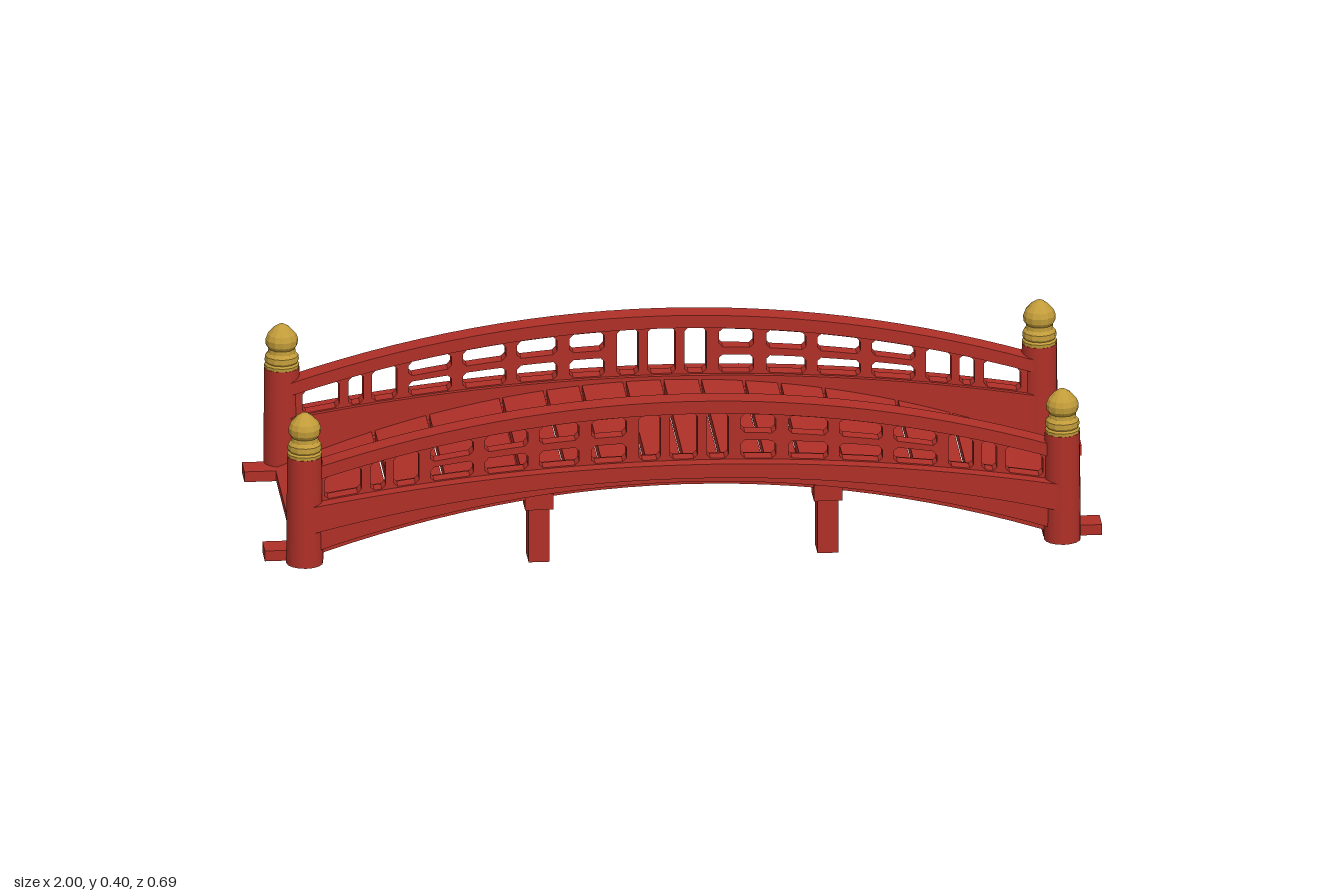
import * as THREE from 'three';

const red = new THREE.MeshStandardMaterial({ color: 0xb03028 });
red.name = 'red lacquer';
const gold = new THREE.MeshStandardMaterial({ color: 0xc29c3a });
gold.name = 'gold';

// Arched heights along the span
const arch = (peak, drop) => x => peak - drop * x * x;
const railTop = arch(0.402, 0.18), railBottom = arch(0.37, 0.18);
const baseTop = arch(0.25, 0.1), baseBottom = arch(0.215, 0.14);
const deckTop = arch(0.241, 0.225), deckBottom = arch(0.212, 0.215);
const beamBottom = arch(0.187, 0.195);

function add(parent, name, geometry, material = red) {
  const mesh = new THREE.Mesh(geometry, material);
  mesh.name = name;
  parent.add(mesh);
  return mesh;
}

// Bar from x0 to x1 whose top and bottom follow two arches
function archedBar(x0, x1, low, high, z0, z1, segments = 28) {
  const g = new THREE.BoxGeometry(x1 - x0, 1, z1 - z0, segments, 1, 1);
  g.translate((x0 + x1) / 2, 0, (z0 + z1) / 2);
  const p = g.attributes.position;
  for (let i = 0; i < p.count; i++) {
    const x = p.getX(i);
    p.setY(i, p.getY(i) > 0 ? high(x) : low(x));
  }
  g.computeVertexNormals();
  return g;
}

function box(x0, x1, y0, y1, z0, z1) {
  return new THREE.BoxGeometry(x1 - x0, y1 - y0, z1 - z0)
    .translate((x0 + x1) / 2, (y0 + y1) / 2, (z0 + z1) / 2);
}

// Opening between fractions f0 and f1 of the height from base to rail, corners cut
function opening(x0, x1, f0, f1) {
  const at = (x, f, dy) => {
    const lo = baseTop(x) + 0.003, hi = railBottom(x) - 0.002;
    return new THREE.Vector2(x, lo + (hi - lo) * f + dy);
  };
  const c = 0.009, m = (x0 + x1) / 2;
  return new THREE.Path([
    at(x0 + c, f0, 0), at(m, f0, 0), at(x1 - c, f0, 0), at(x1, f0, c),
    at(x1, f1, -c), at(x1 - c, f1, 0), at(m, f1, 0), at(x0 + c, f1, 0),
    at(x0, f1, -c), at(x0, f0, c)
  ]);
}

// Pierced panel between the base rail and the handrail
function railingPanel() {
  const end = 0.885, n = 28, outline = [];
  for (let i = 0; i <= n; i++) {
    const x = -end + 2 * end * i / n;
    outline.push(new THREE.Vector2(x, baseTop(x) - 0.01));
  }
  for (let i = n; i >= 0; i--) {
    const x = -end + 2 * end * i / n;
    outline.push(new THREE.Vector2(x, railBottom(x) + 0.01));
  }
  const shape = new THREE.Shape(outline);
  shape.holes.push(opening(-0.033, 0.033, 0, 1));
  const tall = [[0.055, 0.107], [0.632, 0.692], [0.712, 0.748], [0.77, 0.858]];
  const split = [[0.137, 0.22], [0.25, 0.345], [0.372, 0.475], [0.502, 0.605]];
  for (const s of [-1, 1]) {
    const cut = ([a, b], f0, f1) =>
      shape.holes.push(opening(Math.min(s * a, s * b), Math.max(s * a, s * b), f0, f1));
    tall.forEach(w => cut(w, 0, 1));
    split.forEach(w => { cut(w, 0, 0.4); cut(w, 0.57, 0.98); });
  }
  return new THREE.ExtrudeGeometry(shape, { depth: 0.036, bevelEnabled: false })
    .translate(0, 0, 0.274);
}

// Corner post with its gilded finial
function cornerPost() {
  const group = new THREE.Group();
  group.name = 'cornerPost';
  add(group, 'postShaft', new THREE.CylinderGeometry(0.042, 0.044, 0.272, 16).translate(0, 0.154, 0));
  const profile = [
    [0, 0.284], [0.041, 0.284], [0.042, 0.298], [0.038, 0.303], [0.041, 0.308], [0.04, 0.32],
    [0.033, 0.328], [0.032, 0.338], [0.038, 0.347], [0.039, 0.361], [0.034, 0.374],
    [0.02, 0.389], [0.008, 0.397], [0, 0.398]
  ].map(([r, y]) => new THREE.Vector2(r, y));
  const cap = new THREE.LatheGeometry(profile, 12).toNonIndexed();
  cap.computeVertexNormals();
  add(group, 'finial', cap, gold);
  return group;
}

// One long side: rails, beam, posts, feet and legs, made for +z or -z
function bridgeSide(s) {
  const side = new THREE.Group();
  side.name = s > 0 ? 'frontSide' : 'backSide';
  const zs = (a, b) => s > 0 ? [a, b] : [-b, -a];

  add(side, 'handrail', archedBar(-0.89, 0.89, railBottom, railTop, ...zs(0.265, 0.32)));
  const panel = add(side, 'railingPanel', railingPanel());
  if (s < 0) panel.position.z = -0.584;
  add(side, 'baseRail', archedBar(-0.89, 0.89, baseBottom, baseTop, ...zs(0.262, 0.343)));
  add(side, 'fascia', archedBar(-0.89, 0.89, arch(0.2, 0.19), arch(0.225, 0.13), ...zs(0.262, 0.325)));
  add(side, 'archBeam', archedBar(-0.92, 0.92, beamBottom, arch(0.225, 0.215), ...zs(0.24, 0.305)));

  for (const e of [-1, 1]) {
    const post = cornerPost();
    post.position.set(e * 0.905, 0, s * 0.303);
    side.add(post);
    const xs = (a, b) => e > 0 ? [a, b] : [-b, -a];
    add(side, 'foot', box(...xs(0.86, 1), 0.024, 0.05, ...zs(0.237, 0.303)));
    add(side, 'leg', box(...xs(0.32, 0.37), 0, 0.19, ...zs(0.24, 0.303)));
    add(side, 'legBracket', box(...xs(0.311, 0.379), 0.135, 0.175, ...zs(0.25, 0.311)));
  }
  return side;
}

export function createModel() {
  const model = new THREE.Group();
  model.name = 'archedBridge';
  model.add(bridgeSide(1), bridgeSide(-1));

  // Deck planks with narrow gaps
  const deck = new THREE.Group();
  deck.name = 'deck';
  const seams = [0, 0.09, 0.195, 0.28, 0.385, 0.56, 0.69, 0.925];
  for (const s of [-1, 1]) {
    for (let i = 0; i < seams.length - 1; i++) {
      const a = seams[i] + 0.004;
      const b = seams[i + 1] - (i === seams.length - 2 ? 0 : 0.004);
      add(deck, 'plank', archedBar(Math.min(s * a, s * b), Math.max(s * a, s * b),
        deckBottom, deckTop, -0.265, 0.265, 4));
    }
  }
  model.add(deck);

  // Cross beams joining the legs
  for (const e of [-1, 1]) {
    add(model, 'crossBeam', box(e * 0.345 - 0.02, e * 0.345 + 0.02, 0.128, 0.192, -0.26, 0.26));
  }
  return model;
}
